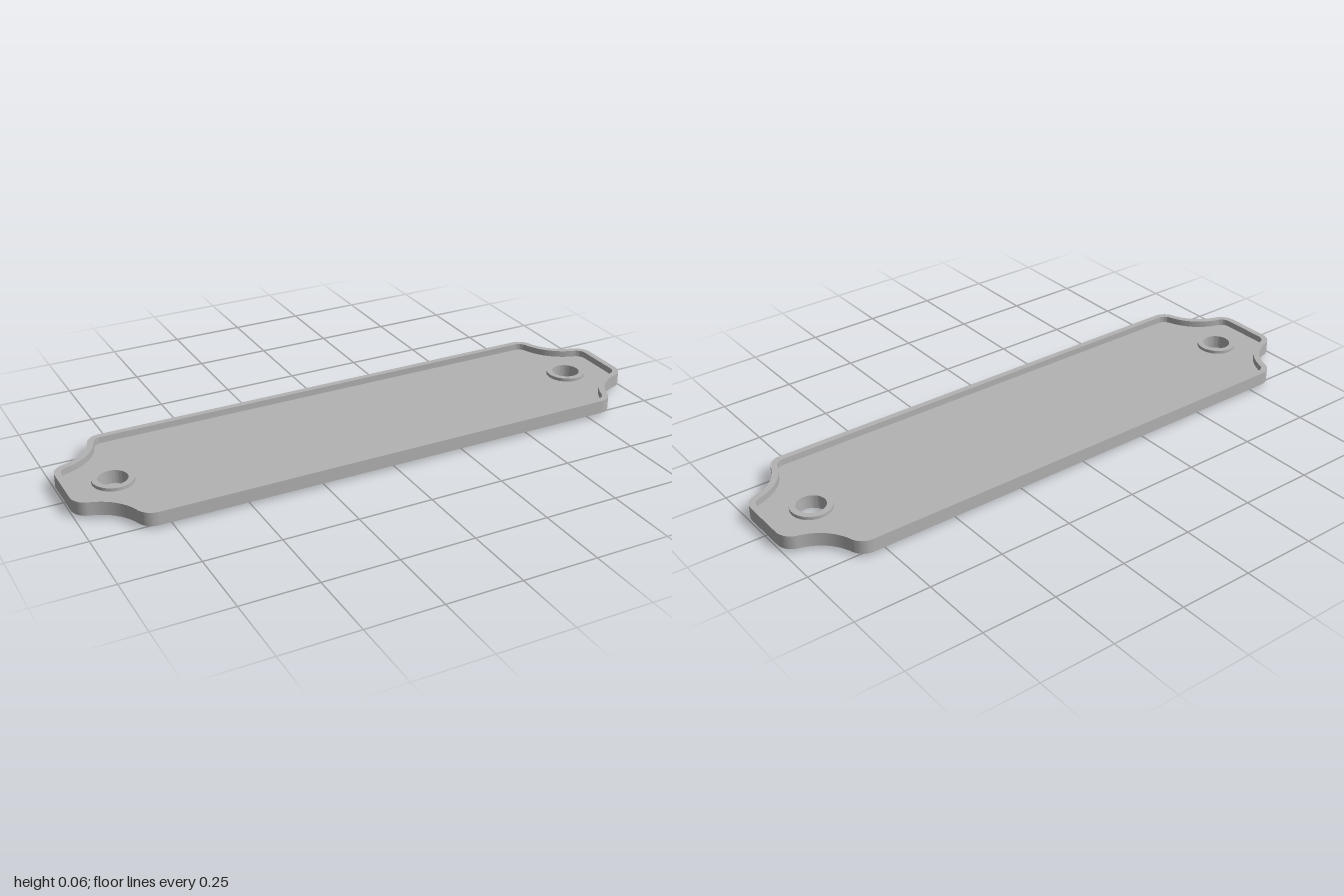
import * as THREE from 'three';
import { toCreasedNormals } from 'three/addons/utils/BufferGeometryUtils.js';

const HOLE_X = 0.84, HOLE_R = 0.047, BOSS_R = 0.067;
const BOTTOM = 0.012, FLOOR = 0.035, TOP = 0.057, RIM = 0.021;

// One corner of the outline: round shoulder, concave scoop, round end; inset shrinks it.
function cornerPoints(inset) {
  const a = new THREE.Vector2(0.793, 0.222), b = new THREE.Vector2(0.945, 0.076);
  const r = 0.055, scoop = 0.16;
  const half = a.distanceTo(b) / 2;
  const mid = a.clone().add(b).multiplyScalar(0.5);
  const out = new THREE.Vector2(a.y - b.y, b.x - a.x).normalize();
  const c = mid.addScaledVector(out, Math.sqrt((r + scoop) ** 2 - half ** 2));
  const ta = Math.atan2(c.y - a.y, c.x - a.x), tb = Math.atan2(c.y - b.y, c.x - b.x);
  const points = [];
  const arc = (o, radius, from, to, n, skip) => {
    for (let i = skip; i <= n; i++) {
      const t = from + (to - from) * i / n;
      points.push(new THREE.Vector2(o.x + radius * Math.cos(t), o.y + radius * Math.sin(t)));
    }
  };
  arc(b, r - inset, 0, tb, 10, 0);
  arc(c, scoop + inset, tb - Math.PI, ta - Math.PI, 16, 1);
  arc(a, r - inset, ta, Math.PI / 2, 10, 1);
  return points;
}

// Mirror the corner into a closed counter-clockwise outline.
function outline(inset) {
  const q = cornerPoints(inset);
  const flip = (sx, sy) => q.map(p => new THREE.Vector2(p.x * sx, p.y * sy));
  return [...q, ...flip(-1, 1).reverse(), ...flip(-1, -1), ...flip(1, -1).reverse()];
}

function circle(x, r) {
  return new THREE.Path().absarc(x, 0, r, 0, Math.PI * 2, true);
}

// Extrude a flat shape upwards from y0 to y1.
function slab(name, shape, y0, y1, material) {
  const g = new THREE.ExtrudeGeometry(shape, { depth: y1 - y0, bevelEnabled: false, curveSegments: 40 });
  g.rotateX(-Math.PI / 2).translate(0, y0, 0);
  const mesh = new THREE.Mesh(toCreasedNormals(g, 0.6), material);
  mesh.name = name;
  return mesh;
}

export function createModel() {
  const group = new THREE.Group();
  group.name = 'mountingPlate';
  const grey = new THREE.MeshStandardMaterial({ color: 0xb3b3b3 });
  grey.name = 'plain grey';

  // Base plate with openings for the bosses
  const base = new THREE.Shape(outline(0));
  for (const s of [-1, 1]) base.holes.push(circle(s * HOLE_X, BOSS_R));
  group.add(slab('basePlate', base, BOTTOM, FLOOR, grey));

  // Raised rim around the edge
  const rim = new THREE.Shape(outline(0));
  rim.holes.push(new THREE.Path(outline(RIM)));
  group.add(slab('rim', rim, FLOOR, TOP, grey));

  // Screw bosses, standing out above and below the plate
  for (const s of [-1, 1]) {
    const ring = new THREE.Shape().absarc(s * HOLE_X, 0, BOSS_R, 0, Math.PI * 2, false);
    ring.holes.push(circle(s * HOLE_X, HOLE_R));
    group.add(slab(s > 0 ? 'leftBoss' : 'rightBoss', ring, 0, 0.046, grey));
  }
  return group;
}
